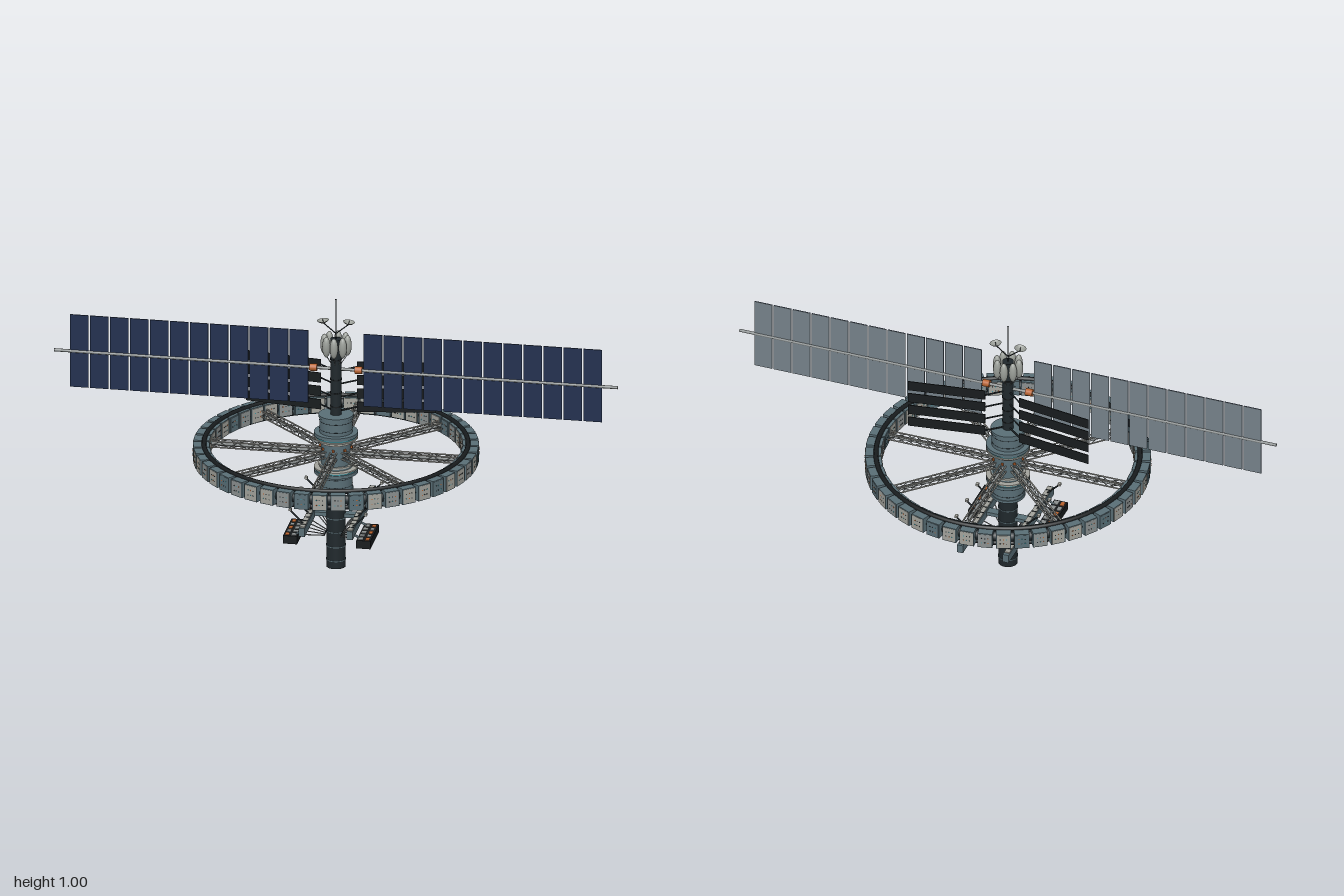
import * as THREE from 'three';

const mat = (color) => new THREE.MeshStandardMaterial({ color });
const M = {
  dark: mat(0x20282c), black: mat(0x181c1e), teal: mat(0x5a6f77), light: mat(0xa3a39c),
  pale: mat(0x8b9090), navy: mat(0x22304f), back: mat(0x76828a), orange: mat(0xb8622e),
  cyan: mat(0x3f9aa8), tank: mat(0x9a9e98),
};
const V = (x, y, z) => new THREE.Vector3(x, y, z);

function add(parent, name, geometry, material, x = 0, y = 0, z = 0) {
  const mesh = new THREE.Mesh(geometry, material);
  mesh.name = name;
  mesh.position.set(x, y, z);
  parent.add(mesh);
  return mesh;
}
const box = (p, name, m, w, h, d, x, y, z) => add(p, name, new THREE.BoxGeometry(w, h, d), m, x, y, z);
const drum = (p, name, m, r, y0, y1, seg = 32) =>
  add(p, name, new THREE.CylinderGeometry(r, r, y1 - y0, seg), m, 0, (y0 + y1) / 2, 0);

// Thin rod between two points
function rod(p, name, m, a, b, r, seg = 6) {
  const dir = b.clone().sub(a);
  const mesh = add(p, name, new THREE.CylinderGeometry(r, r, dir.length(), seg), m);
  mesh.position.copy(a).add(b).multiplyScalar(0.5);
  mesh.quaternion.setFromUnitVectors(V(0, 1, 0), dir.normalize());
  return mesh;
}
function group(parent, name) {
  const g = new THREE.Group();
  g.name = name;
  parent.add(g);
  return g;
}

// Central mast, hub drums and bands
function buildCore(root) {
  const core = group(root, 'core');
  drum(core, 'lowerMast', M.dark, 0.034, 0, 0.3);
  for (const y of [0.028, 0.08, 0.135, 0.185, 0.235]) drum(core, 'mastBand', M.teal, 0.0352, y - 0.0015, y + 0.0015);
  drum(core, 'hubCentre', M.teal, 0.052, 0.385, 0.475);
  // Upper and lower hubs mirror each other about the wheel plane
  for (const s of [-1, 1]) {
    const at = (name, m, r, a, b) => drum(core, name, m, r, ...[0.429 + s * a, 0.429 + s * b].sort((p, q) => p - q));
    at('hubDrum', M.teal, 0.058, 0.04, 0.137);
    at('hubEndBand', M.teal, 0.061, 0.131, 0.141);
    at('hubInnerBand', M.light, 0.061, 0.04, 0.046);
    at('hubFlange', M.light, 0.077, 0.053, 0.0585);
    at('hubTealBand', M.cyan, 0.073, 0.0585, 0.064);
    at('hubFlange', M.teal, 0.077, 0.064, 0.076);
    at('hubSeam', M.dark, 0.0585, 0.088, 0.09);
    at('hubSeam', M.dark, 0.0585, 0.118, 0.12);
  }
  drum(core, 'upperMast', M.dark, 0.02, 0.56, 0.85, 24);
  for (const y of [0.6, 0.65, 0.7, 0.775]) drum(core, 'upperMastBand', M.black, 0.021, y - 0.002, y + 0.002, 24);
}

// Tank cluster, antenna and dishes
function buildHead(root) {
  const head = group(root, 'mastHead');
  const tankGeo = new THREE.SphereGeometry(1, 16, 12).scale(0.0145, 0.038, 0.0145);
  for (let i = 0; i < 8; i++) {
    const a = (i * Math.PI) / 4, c = Math.cos(a), s = Math.sin(a);
    add(head, 'tank', tankGeo, M.tank, c * 0.041, 0.828, s * 0.041);
    rod(head, 'tankStrut', M.pale, V(c * 0.019, 0.76, s * 0.019), V(c * 0.041, 0.795, s * 0.041), 0.0015);
  }
  rod(head, 'antenna', M.dark, V(0, 0.84, 0), V(0, 0.995, 0), 0.0015);
  add(head, 'antennaTip', new THREE.SphereGeometry(0.003, 8, 6), M.dark, 0, 0.997, 0);
  const profile = [[0, 0], [0.009, 0.002], [0.016, 0.006], [0.021, 0.011]].map(([x, y]) => new THREE.Vector2(x, y));
  const dishMat = mat(0x9a9e98);
  dishMat.side = THREE.DoubleSide;
  for (const s of [-1, 1]) {
    rod(head, 'dishArm', M.dark, V(0, 0.87, 0), V(s * 0.045, 0.907, 0), 0.002);
    const dish = add(head, 'dish', new THREE.LatheGeometry(profile, 20), dishMat, s * 0.045, 0.906, 0);
    dish.rotation.z = -s * 0.12;
    rod(head, 'dishFeed', M.dark, V(s * 0.045, 0.906, 0), V(s * 0.047, 0.921, 0), 0.001);
  }
}

// Rotating wheel: modules, rails and truss spokes
function buildWheel(root) {
  const wheel = group(root, 'wheel');
  wheel.position.y = 0.429;
  for (const s of [-1, 1]) {
    const rail = add(wheel, 'rail', new THREE.TorusGeometry(0.461, 0.0085, 8, 96), M.black, 0, s * 0.03, 0);
    rail.rotation.x = Math.PI / 2;
  }
  const core = add(wheel, 'innerTunnel', new THREE.TorusGeometry(0.465, 0.018, 8, 96), M.dark);
  core.rotation.x = Math.PI / 2;

  const body = new THREE.BoxGeometry(0.052, 0.058, 0.056);
  const plate = new THREE.BoxGeometry(0.046, 0.052, 0.003);
  const pane = new THREE.BoxGeometry(0.004, 0.003, 0.002);
  for (let i = 0; i < 48; i++) {
    const mod = group(wheel, 'habitatModule');
    mod.rotation.y = ((i + 0.5) / 48) * Math.PI * 2;
    add(mod, 'moduleBody', body, M.teal, 0, 0, 0.47);
    const skin = i % 5 === 2 ? M.teal : i % 3 === 1 ? M.pale : M.light;
    add(mod, 'outerPlate', plate, skin, 0, 0, 0.4975);
    add(mod, 'innerPlate', plate, skin, 0, 0, 0.4415);
    for (let k = 0; k < 6; k++) {
      const x = ((k % 3) - 1) * 0.011, y = k < 3 ? 0.009 : -0.009;
      const m = (i * 7 + k * 3) % 4 === 0 ? M.cyan : (i + k) % 3 === 0 ? M.orange : M.dark;
      add(mod, 'window', pane, m, x, y, 0.499);
      add(mod, 'window', pane, m, x, y, 0.44);
    }
  }
  for (let i = 0; i < 8; i++) {
    const spoke = group(wheel, 'spoke');
    spoke.rotation.y = (i * Math.PI) / 4;
    const h = 0.011, r0 = 0.05, r1 = 0.445, n = 12;
    rod(spoke, 'spokeTube', M.pale, V(0, 0, r0), V(0, 0, r1), 0.007, 8);
    for (const x of [-h, h]) for (const y of [-h, h]) rod(spoke, 'spokeChord', M.light, V(x, y, r0), V(x, y, r1), 0.0028);
    for (let k = 0; k < n; k++) {
      const z0 = r0 + ((r1 - r0) * k) / n, z1 = r0 + ((r1 - r0) * (k + 1)) / n, f = k % 2 ? h : -h;
      for (const s of [-h, h]) {
        rod(spoke, 'spokeBrace', M.pale, V(s, f, z0), V(s, -f, z1), 0.0014, 4);
        rod(spoke, 'spokeBrace', M.pale, V(f, s, z0), V(-f, s, z1), 0.0014, 4);
      }
    }
    box(spoke, 'spokeLamp', M.orange, 0.008, 0.008, 0.006, 0, 0.02, 0.056);
  }
}

// Solar wings and swept radiators
function buildWings(root) {
  for (const s of [-1, 1]) {
    const wing = group(root, s > 0 ? 'leftSolarWing' : 'rightSolarWing');
    rod(wing, 'wingBoom', M.pale, V(0, 0.738, 0), V(s, 0.738, 0), 0.0055, 10);
    const joint = add(wing, 'wingJoint', new THREE.CylinderGeometry(0.013, 0.013, 0.026, 16), M.orange, s * 0.08, 0.738, 0);
    joint.rotation.z = Math.PI / 2;
    for (let i = 0; i < 12; i++) {
      const x = s * (0.131 + i * 0.0709);
      box(wing, 'solarPanel', M.navy, 0.0655, 0.27, 0.002, x, 0.74, 0.001);
      box(wing, 'panelBack', M.back, 0.0655, 0.27, 0.002, x, 0.74, -0.001);
    }
    const radiators = group(root, s > 0 ? 'leftRadiators' : 'rightRadiators');
    for (let i = 0; i < 4; i++) {
      const y = 0.578 + i * 0.05;
      const fin = box(radiators, 'radiator', M.black, 0.276, 0.037, 0.003, s * 0.2, y, -0.077);
      fin.rotation.y = s * 0.146;
      rod(radiators, 'radiatorArm', M.dark, V(s * 0.012, y, -0.012), V(s * 0.066, y, -0.058), 0.003);
    }
  }
}

// Docking beams with lamp posts, pods and struts
function buildDock(root) {
  for (const s of [-1, 1]) {
    const dock = group(root, s > 0 ? 'leftDock' : 'rightDock');
    box(dock, 'dockBeam', M.teal, 0.022, 0.031, 0.45, s * 0.085, 0.195, -0.025);
    box(dock, 'dockDeck', M.light, 0.018, 0.004, 0.43, s * 0.085, 0.2125, -0.022);
    for (let i = 0; i < 12; i++) box(dock, 'deckCleat', M.dark, 0.019, 0.002, 0.003, s * 0.085, 0.215, 0.17 - i * 0.035);
    for (const z of [0.155, 0.053, -0.051, -0.155]) {
      rod(dock, 'lampPost', M.dark, V(s * 0.088, 0.212, z), V(s * 0.133, 0.258, z), 0.003);
      box(dock, 'lampHead', M.light, 0.01, 0.008, 0.014, s * 0.134, 0.261, z);
    }
    box(dock, 'cargoPod', M.black, 0.05, 0.03, 0.165, s * 0.13, 0.157, 0.098);
    for (let i = 0; i < 5; i++) {
      const z = 0.035 + i * 0.032;
      box(dock, 'podHatch', M.pale, 0.018, 0.003, 0.022, s * 0.118, 0.1725, z);
      box(dock, 'podHatch', i % 2 ? M.pale : M.orange, 0.014, 0.003, 0.022, s * 0.142, 0.1725, z);
    }
    for (const z of [0.03, 0.155]) rod(dock, 'podArm', M.teal, V(s * 0.088, 0.185, z), V(s * 0.125, 0.165, z), 0.004);
    for (let i = 0; i < 5; i++) for (const d of [-1, 1]) {
      rod(dock, 'dockStrut', M.pale, V(s * 0.03, 0.138, d * (0.012 + i * 0.014)), V(s * 0.08, 0.182, d * (0.04 + i * 0.036)), 0.002);
    }
    rod(dock, 'strutBar', M.dark, V(s * 0.03, 0.138, -0.07), V(s * 0.03, 0.138, 0.07), 0.0025);
    box(dock, 'dockBridge', M.teal, 0.06, 0.014, 0.03, s * 0.055, 0.195, 0);
  }
}

export function createModel() {
  const root = new THREE.Group();
  root.name = 'spaceStation';
  buildCore(root);
  buildHead(root);
  buildWheel(root);
  buildWings(root);
  buildDock(root);
  return root;
}
